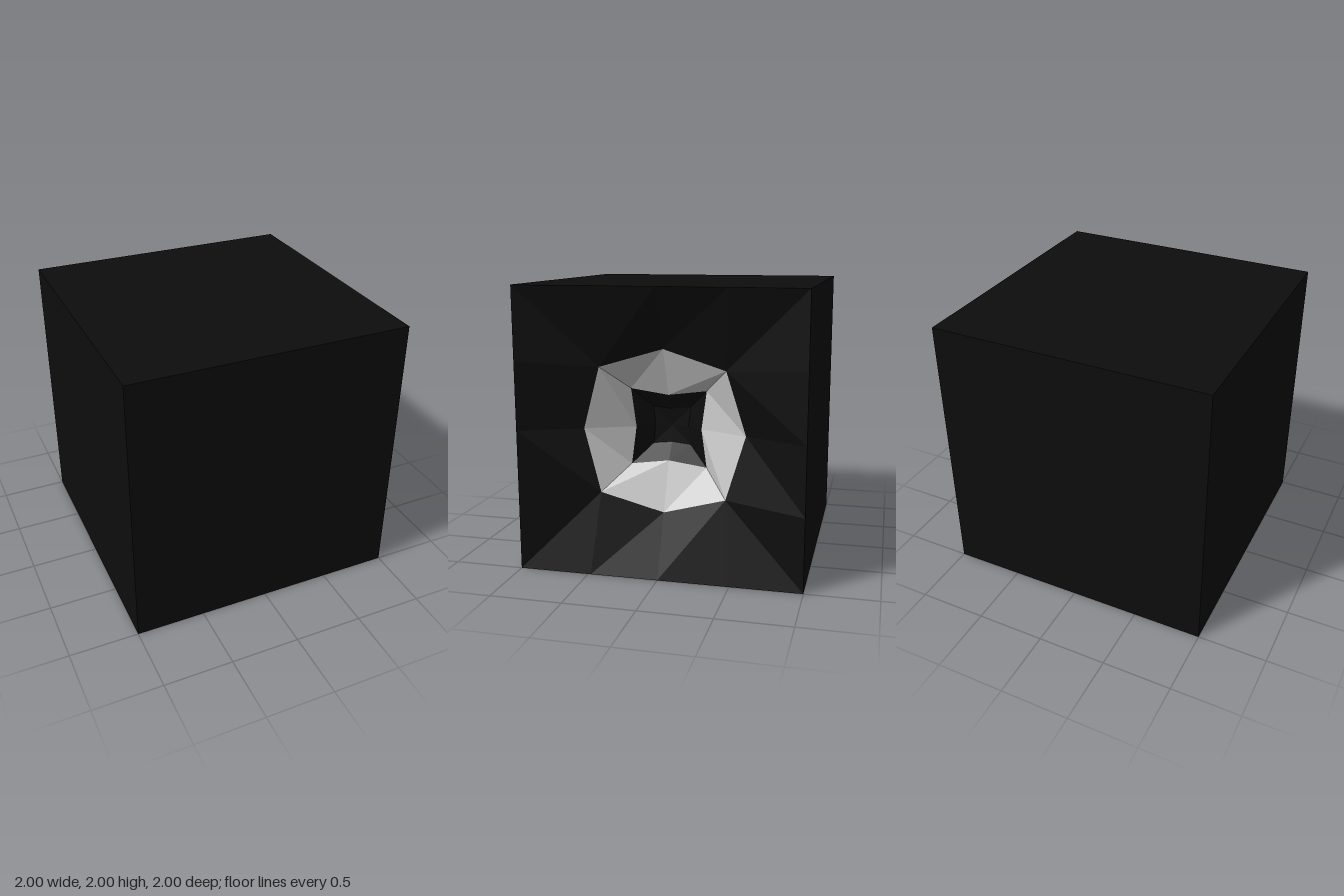
import * as THREE from 'three';

const dark = new THREE.MeshStandardMaterial({ color: 0x0d0d0d, flatShading: true });
const pale = new THREE.MeshStandardMaterial({ color: 0xe7e7e7, flatShading: true });

// Eight points around the x axis, counter-clockwise seen from +x.
// mid / diag: offsets of the side and corner points; xm / xd: their x.
function ring(mid, diag, xm, xd = xm) {
  return Array.from({ length: 8 }, (_, i) => {
    const a = (i * Math.PI) / 4;
    const corner = i % 2 === 1;
    const r = corner ? diag * Math.SQRT2 : mid;
    return [corner ? xd : xm, 1 + r * Math.sin(a), -r * Math.cos(a)];
  });
}

function facets(name, triangles, material) {
  const geometry = new THREE.BufferGeometry();
  geometry.setAttribute('position', new THREE.Float32BufferAttribute(triangles.flat(2), 3));
  geometry.computeVertexNormals();
  const mesh = new THREE.Mesh(geometry, material);
  mesh.name = name;
  return mesh;
}

// Band of quads joining an outer ring to an inner ring.
function band(outer, inner) {
  return outer.flatMap((a, i) => {
    const j = (i + 1) % outer.length;
    return [[a, outer[j], inner[j]], [a, inner[j], inner[i]]];
  });
}

export function createModel() {
  const group = new THREE.Group();

  // Five closed sides of the cube (the +x side is left open)
  const box = new THREE.BoxGeometry(2, 2, 2).translate(0, 1, 0);
  box.setIndex(Array.from(box.index.array).slice(6));
  const shell = new THREE.Mesh(box, dark);
  shell.name = 'cubeShell';
  group.add(shell);

  const rim = ring(0.573, 0.443, 0.81, 0.85);
  const mouth = ring(0.235, 0.272, 0.665);
  const floor = ring(0.12, 0.135, 0.57);

  // Dished face from the cube's edges down to the pale rim
  const dish = [];
  const split = 0.48;
  for (let s = 0; s < 4; s++) {
    const c = Math.cos((s * Math.PI) / 2), n = Math.sin((s * Math.PI) / 2);
    const edge = (u, v) => [1, 1 + u * n + v * c, -(u * c - v * n)];
    const low = edge(1, -split), middle = edge(1, 0), high = edge(1, split);
    const corner = edge(1, 1), next = edge(split, 1);
    const before = rim[(s * 2 + 7) % 8], side = rim[s * 2], after = rim[s * 2 + 1];
    dish.push(
      [low, middle, side], [low, side, before],
      [middle, high, after], [middle, after, side],
      [high, corner, after], [corner, next, after]
    );
  }
  group.add(facets('dishedFace', dish, dark));

  // Pale faceted funnel
  group.add(facets('paleFunnel', band(rim, mouth), pale));

  // Dark recess and its floor
  group.add(facets('recessWall', band(mouth, floor), dark));
  const centre = [0.56, 1, 0];
  group.add(facets('recessFloor', floor.map((p, i) => [p, floor[(i + 1) % 8], centre]), dark));

  return group;
}
